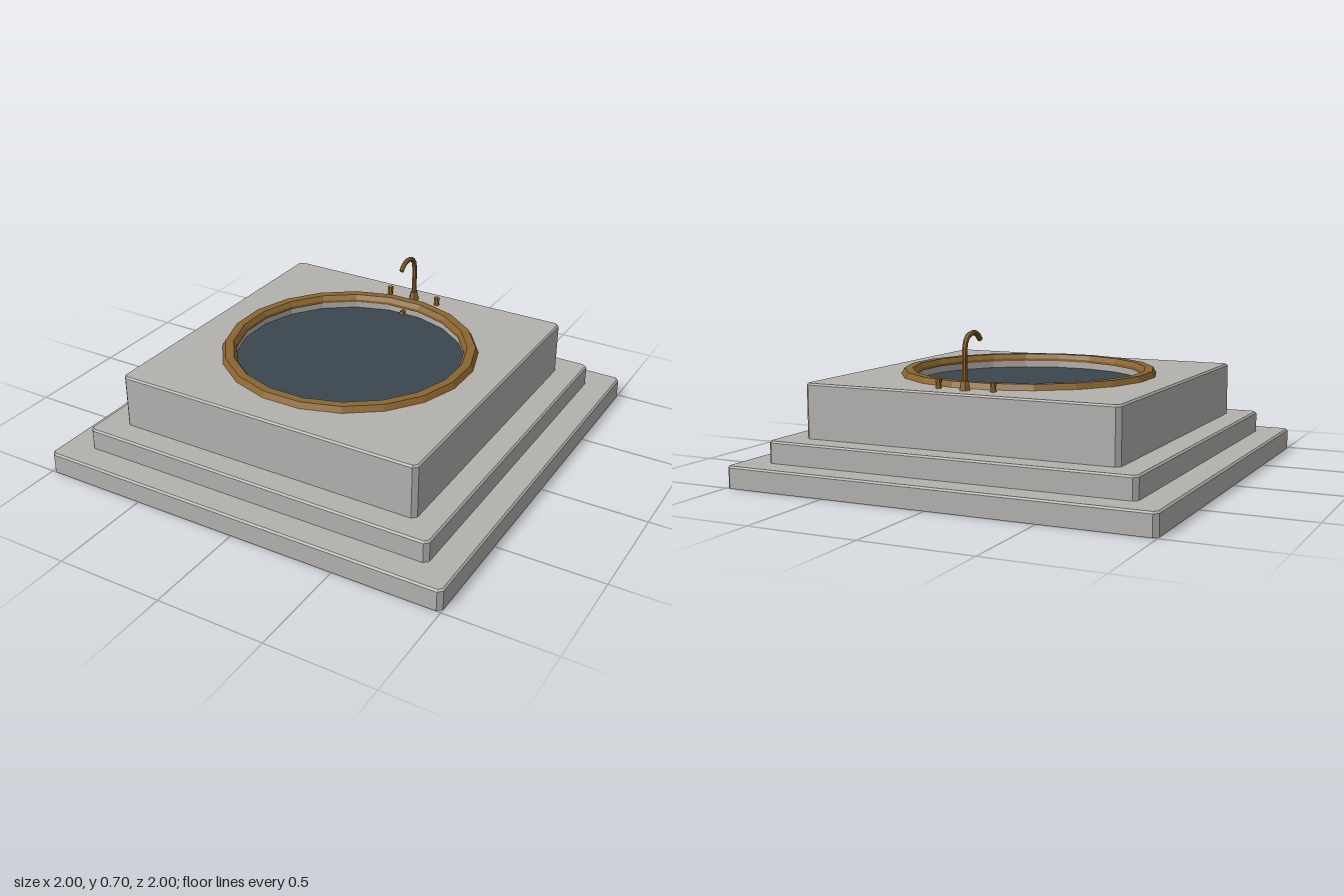
import * as THREE from 'three';

export function createModel() {
  const stone = new THREE.MeshStandardMaterial({ name: 'stone', color: 0xb3b1ae, flatShading: true });
  const brass = new THREE.MeshStandardMaterial({ name: 'brass', color: 0x8a6530, flatShading: true });
  const water = new THREE.MeshStandardMaterial({ name: 'water', color: 0x3b464f, flatShading: true });
  const SIDES = 20, TURN = Math.PI / SIDES;
  const model = new THREE.Group();
  model.name = 'sunkenBath';

  const add = (name, geometry, material, x = 0, y = 0, z = 0) => {
    const mesh = new THREE.Mesh(geometry, material);
    mesh.name = name;
    mesh.position.set(x, y, z);
    model.add(mesh);
    return mesh;
  };

  // Square slab with cut corners, a chamfered top edge and an optional round well
  const slab = (name, half, y0, y1, wellRadius) => {
    const c = 0.02, b = 0.008, k = half - c;
    const shape = new THREE.Shape([
      [half, -k], [half, k], [k, half], [-k, half],
      [-half, k], [-half, -k], [-k, -half], [k, -half],
    ].map(([x, y]) => new THREE.Vector2(x, y)));
    if (wellRadius) {
      const ring = [];
      for (let i = 0; i < SIDES; i++) {
        const a = TURN - (i * 2 * Math.PI) / SIDES;
        ring.push(new THREE.Vector2(wellRadius * Math.cos(a), wellRadius * Math.sin(a)));
      }
      shape.holes.push(new THREE.Path(ring));
    }
    const geo = new THREE.ExtrudeGeometry(shape, {
      depth: y1 - y0 - b, bevelThickness: b, bevelSize: b, bevelOffset: -b, bevelSegments: 1,
    });
    // Flatten the lower chamfer so the slab sits flush
    const p = geo.attributes.position;
    for (let i = 0; i < p.count; i++) p.setZ(i, Math.max(0, p.getZ(i)));
    geo.rotateX(-Math.PI / 2);
    geo.computeVertexNormals();
    add(name, geo, stone, 0, y0, 0);
  };
  slab('lowerStep', 1, 0, 0.1);
  slab('upperStep', 0.87, 0.1, 0.2);
  slab('tubBlock', 0.75, 0.2, 0.45, 0.54);

  // Water surface in the well
  const surface = new THREE.CircleGeometry(0.545, SIDES, TURN);
  surface.rotateX(-Math.PI / 2);
  add('waterSurface', surface, water, 0, 0.41, 0);

  // Faceted rim with sloping edges
  const rim = [[0.602, 0.448], [0.587, 0.476], [0.548, 0.476], [0.533, 0.455], [0.533, 0.442], [0.56, 0.442]]
    .map(([r, y]) => new THREE.Vector2(r, y));
  add('rim', new THREE.LatheGeometry(rim, SIDES, TURN), brass);

  // Faucet: flared foot and a hooked spout
  add('faucetFoot', new THREE.CylinderGeometry(0.018, 0.027, 0.04, 6).rotateY(Math.PI / 6), brass, 0, 0.47, -0.642);
  const path = new THREE.CurvePath();
  const pts = [[0.45, -0.642], [0.62, -0.642], [0.667, -0.625], [0.688, -0.58], [0.682, -0.53], [0.655, -0.5]]
    .map(([y, z]) => new THREE.Vector3(0, y, z));
  const bend = new THREE.CatmullRomCurve3(pts.slice(1), false, 'centripetal');
  path.add(new THREE.LineCurve3(pts[0], pts[1]));
  path.add(bend);
  add('spout', new THREE.TubeGeometry(path, 14, 0.012, 8), brass);
  const tip = add('spoutEnd', new THREE.CircleGeometry(0.012, 8), brass, 0, 0.655, -0.5);
  tip.lookAt(tip.position.clone().add(bend.getTangent(1)));

  // Tap handles on either side
  for (const [side, x] of [['left', 0.132], ['right', -0.132]]) {
    add(side + 'TapStem', new THREE.CylinderGeometry(0.01, 0.014, 0.026, 6), brass, x, 0.463, -0.635);
    add(side + 'TapKnob', new THREE.CylinderGeometry(0.014, 0.015, 0.016, 8), brass, x, 0.482, -0.635);
  }

  // Small overflow fitting on the inner wall below the spout
  add('overflow', new THREE.CylinderGeometry(0.012, 0.012, 0.03, 8).rotateX(Math.PI / 2), brass, 0, 0.422, -0.525);
  return model;
}
